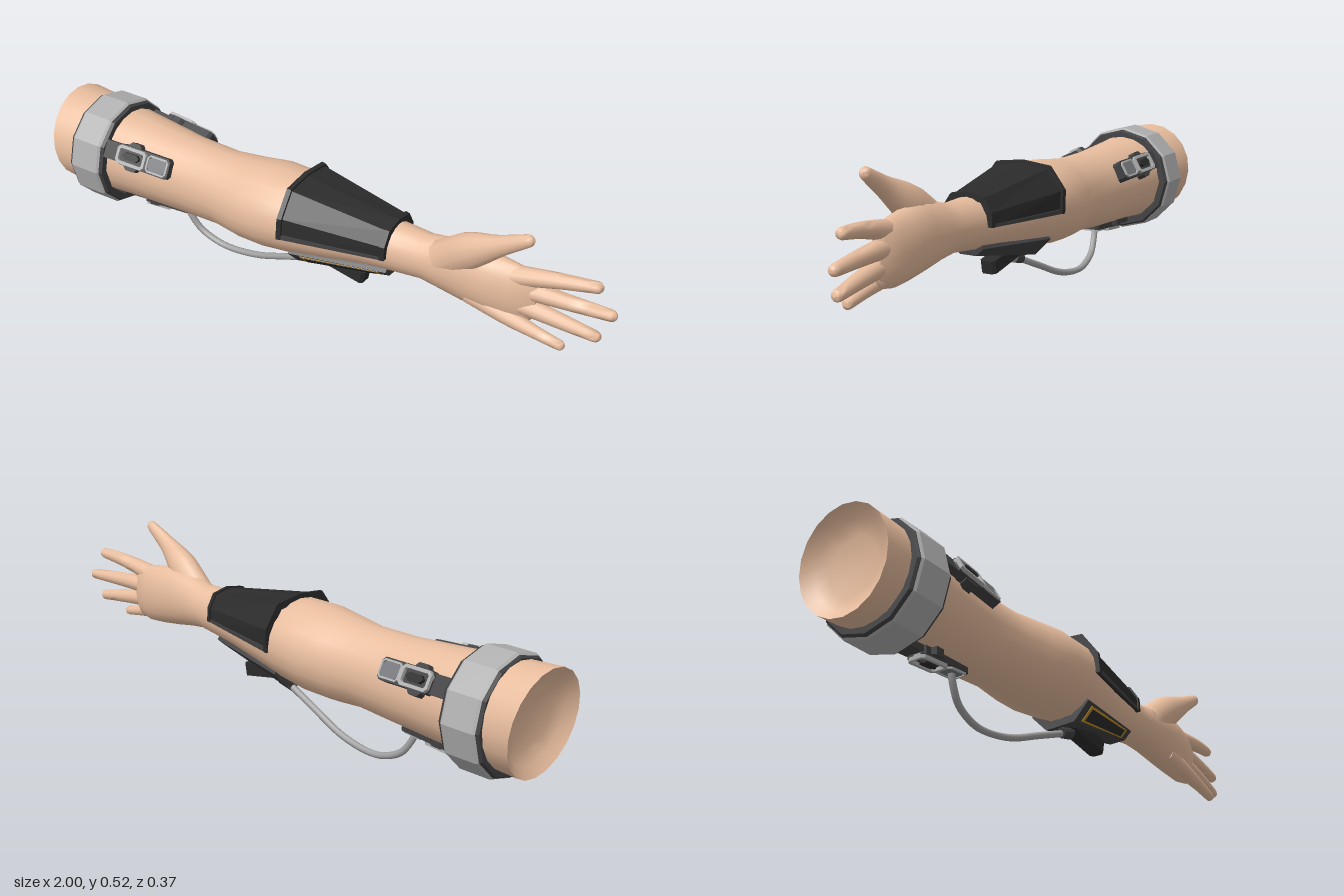
import * as THREE from 'three';
import { toCreasedNormals } from 'three/addons/utils/BufferGeometryUtils.js';

const V = (x, y, z) => new THREE.Vector3(x, y, z);
const paint = (color, flatShading = false) => new THREE.MeshStandardMaterial({ color, flatShading });

const skin = paint(0xe8bd9e);
const black = paint(0x2b2b2b, true);
const charcoal = paint(0x414143, true);
const grey = paint(0xb0b0b0, true);
const cableGrey = paint(0xa0a0a0);
const gold = paint(0xc8921e, true);

function add(parent, name, geometry, material) {
  const mesh = new THREE.Mesh(geometry, material);
  mesh.name = name;
  parent.add(mesh);
  return mesh;
}

// Skin a list of closed rings (same even point count), capped at both ends
function loft(rings, crease = 0.9) {
  const n = rings[0].length, index = [];
  const last = (rings.length - 1) * n;
  for (let i = 0; i < rings.length - 1; i++) {
    for (let j = 0; j < n; j++) {
      const k = (j + 1) % n, a = i * n + j, b = i * n + k;
      index.push(a, b, a + n, b, b + n, a + n);
    }
  }
  for (let j = 0; j < n / 2 - 1; j++) {
    const p = n - 2 - j, q = n - 1 - j;
    index.push(j, p, j + 1, j, q, p);
    index.push(last + j, last + j + 1, last + p, last + j, last + p, last + q);
  }
  const geo = new THREE.BufferGeometry().setFromPoints(rings.flat());
  geo.setIndex(index);
  return toCreasedNormals(geo, crease);
}

// Round tapering limb along a smooth path, with a rounded tip
function digit(points, radii, flatten = 1, sides = 12) {
  const curve = new THREE.CatmullRomCurve3(points);
  const rings = [], steps = 10;
  const ring = (c, t, r) => {
    const u = V(0, 0, 1).cross(t).normalize(), v = t.clone().cross(u);
    rings.push(Array.from({ length: sides }, (_, j) => {
      const a = j / sides * Math.PI * 2;
      return c.clone().addScaledVector(u, r * Math.cos(a)).addScaledVector(v, r * Math.sin(a) * flatten);
    }));
  };
  for (let i = 0; i <= steps; i++) {
    const f = i / steps * (radii.length - 1), k = Math.min(Math.floor(f), radii.length - 2);
    ring(curve.getPoint(i / steps), curve.getTangent(i / steps),
      THREE.MathUtils.lerp(radii[k], radii[k + 1], f - k));
  }
  const end = points.at(-1), t = curve.getTangent(1), r = radii.at(-1);
  for (const [d, s] of [[0.5, 0.87], [0.85, 0.53], [1, 0.15]]) ring(end.clone().addScaledVector(t, r * d), t, r * s);
  return loft(rings, 1.2);
}

// Arm and palm sections: x, top, bottom, back z, front z
const ARM = [
  [-1, .445, .12, -.17, .152], [-.88, .437, .122, -.16, .152], [-.7, .42, .134, -.14, .14],
  [-.5, .405, .138, -.112, .125], [-.35, .402, .147, -.106, .13], [-.25, .412, .14, -.12, .15],
  [-.15, .424, .145, -.135, .164], [-.04, .422, .16, -.128, .16], [.1, .4, .182, -.098, .13],
  [.2, .387, .198, -.076, .105], [.3, .373, .211, -.058, .09], [.4, .37, .221, -.046, .082],
  [.46, .385, .212, -.04, .084], [.54, .4, .197, -.038, .085], [.62, .392, .186, -.035, .08],
  [.69, .382, .181, -.028, .066], [.74, .37, .19, -.016, .048], [.765, .34, .22, 0, .032],
];
function armRing([x, top, bottom, back, front], slant = 0, scale = 1) {
  return Array.from({ length: 20 }, (_, j) => {
    const a = j / 20 * Math.PI * 2, c = Math.cos(a) * scale, s = Math.sin(a) * scale;
    return V(x + slant * (1 - c) / 2, (top + bottom) / 2 + c * (top - bottom) / 2,
      (back + front) / 2 + s * (front - back) / 2);
  });
}

// Tapering armour shell: [z, y] outline morphs from big to small along x,
// with thickness given as scales about the forearm axis
function shell(big, small, x0, x1, inner, outer) {
  const rings = [x0, x1].map((x) => {
    const t = (x + 0.04) / 0.34;
    const at = (s) => big.map(([z, y], i) => V(x,
      0.29 + (THREE.MathUtils.lerp(y, small[i][1], t) - 0.29) * s,
      0.015 + (THREE.MathUtils.lerp(z, small[i][0], t) - 0.015) * s));
    return [...at(outer), ...at(inner).reverse()];
  });
  return loft(rings, 0.1);
}
// Part of one outline segment, from fraction f to g
const piece = (o, i, f, g) => [f, g].map((t) => [0, 1].map((k) => THREE.MathUtils.lerp(o[i][k], o[i + 1][k], t)));

// Chamfered block lying in local xz, rising along y; optional slot through it
function plate(x0, x1, half, y0, y1, slot = 0) {
  const outline = (a, b, h, c) => [[a + c, -h], [b - c, -h], [b, c - h], [b, h - c], [b - c, h], [a + c, h], [a, h - c], [a, c - h]]
    .map((p) => new THREE.Vector2(...p));
  const shape = new THREE.Shape(outline(x0, x1, half, 0.01));
  if (slot) shape.holes.push(new THREE.Path(outline(x0 + slot, x1 - slot, half - slot, 0.005)));
  return new THREE.ExtrudeGeometry(shape, { depth: y1 - y0, bevelEnabled: false })
    .rotateX(-Math.PI / 2).translate(0, y0, 0);
}

// Ring swept around the arm axis from [radius, x] points
function band(profile) {
  const pts = [...profile, profile[0]].map(([r, x]) => new THREE.Vector2(r, x));
  return new THREE.LatheGeometry(pts, 12).rotateZ(-Math.PI / 2).translate(0, 0.272, 0);
}

export function createModel() {
  const model = new THREE.Group();
  model.name = 'armWithBracer';

  // Arm with a dished upper end
  const start = ARM[0];
  add(model, 'arm', loft([
    armRing([-.955, ...start.slice(1)], .03, .55), armRing([-.97, ...start.slice(1)], .03, .8),
    armRing(start, .035), ...ARM.slice(1).map((s) => armRing(s)),
  ]), skin);

  // Fingers and thumb
  const hand = new THREE.Group();
  hand.name = 'hand';
  model.add(hand);
  const fingers = {
    indexFinger: [V(.6, .325, .03), V(.73, .352, .02), V(.84, .372, .01), V(.932, .382, -.002)],
    middleFinger: [V(.6, .298, .025), V(.75, .302, .013), V(.88, .3, .0), V(.98, .297, -.012)],
    ringFinger: [V(.6, .265, .03), V(.74, .25, .022), V(.86, .234, .014), V(.947, .221, .006)],
    littleFinger: [V(.56, .24, .04), V(.69, .208, .045), V(.78, .189, .045), V(.858, .173, .042)],
  };
  for (const [name, path] of Object.entries(fingers)) {
    add(hand, name, digit(path, name === 'littleFinger' ? [.034, .027, .02, .016] : [.036, .029, .023, .018]), skin);
  }
  add(hand, 'thumb', digit([V(.46, .32, .035), V(.56, .395, .048), V(.65, .451, .06), V(.738, .503, .062)],
    [.06, .058, .033, .02], .8), skin);

  // Upper arm cuff
  const cuff = new THREE.Group();
  cuff.name = 'cuff';
  model.add(cuff);
  add(cuff, 'cuffLiner', band([[.15, -.892], [.172, -.892], [.178, -.885], [.178, -.765], [.172, -.755], [.15, -.755]]), charcoal);
  add(cuff, 'cuffBand', band([[.165, -.884], [.177, -.884], [.184, -.875], [.184, -.773], [.177, -.764], [.165, -.764]]), grey);

  // Three sensor pods spaced around the arm
  for (const [name, turn] of [['frontPod', 60], ['backPod', -60], ['lowerPod', 180]]) {
    const pivot = new THREE.Group();
    pivot.name = name;
    pivot.position.set(-.6, .275, .003);
    pivot.rotation.x = THREE.MathUtils.degToRad(turn);
    const pod = new THREE.Group();
    pod.position.y = .14;
    pod.rotation.z = -.08;
    pivot.add(pod);
    model.add(pivot);
    add(pod, 'podStrap', plate(-.17, -.08, .03, -.02, .008), charcoal);
    add(pod, 'podBase', plate(-.1, .1, .034, -.025, .014), charcoal);
    add(pod, 'podClamp', plate(-.07, -.02, .047, -.035, .01), charcoal);
    add(pod, 'podFrame', plate(-.1, .012, .031, .01, .025, .01), grey);
    add(pod, 'podSlot', plate(-.075, -.012, .012, .01, .026), black);
    add(pod, 'podRim', plate(.016, .096, .029, .01, .02, .006), grey);
    add(pod, 'podPanel', plate(.022, .09, .023, .01, .017), paint(0x77797c, true));
  }

  // Forearm guard over the top, with raised edging
  const guard = new THREE.Group();
  guard.name = 'forearmGuard';
  model.add(guard);
  const big = [[-.128, .278], [-.13, .35], [-.08, .418], [.015, .43], [.105, .42], [.16, .345], [.168, .278]];
  const small = [[-.068, .287], [-.066, .33], [-.042, .372], [.015, .383], [.07, .372], [.098, .33], [.1, .287]];
  add(guard, 'guardPanel', shell(big, small, -.035, .295, .9, 1), black);
  add(guard, 'guardRearRim', shell(big, small, -.045, -.03, .88, 1.05), black);
  add(guard, 'guardFrontRim', shell(big, small, .285, .3, .84, 1.06), black);
  for (const [i, f, g] of [[0, 0, .2], [5, .8, 1]]) {
    add(guard, 'guardLowerRim', shell(piece(big, i, f, g), piece(small, i, f, g), -.045, .3, .9, 1.04), charcoal);
  }

  // Faceted plate under the forearm, with gold outlined side panel
  const under = new THREE.Group();
  under.name = 'underPlate';
  model.add(under);
  const wide = [[.125, .2], [.07, .142], [-.035, .138], [-.09, .195]];
  const narrow = [[.07, .222], [.045, .198], [-.008, .197], [-.035, .22]];
  add(under, 'underPanel', shell(wide, narrow, -.035, .29, .85, 1.02), charcoal);
  add(under, 'goldOutline', shell(piece(wide, 0, .12, .88), piece(narrow, 0, .12, .88), 0, .262, .95, 1.035), gold);
  add(under, 'sidePanel', shell(piece(wide, 0, .22, .78), piece(narrow, 0, .22, .78), .012, .25, .95, 1.05), black);

  // Socket block and plug for the cable
  const socket = add(under, 'socket', plate(-.09, .09, .026, -.02, .022), black);
  socket.position.set(.1, .152, .012);
  socket.rotation.set(Math.PI, 0, .19);
  const plug = add(under, 'plug', new THREE.CylinderGeometry(.017, .02, .05, 10), charcoal);
  plug.position.set(.005, .13, .01);
  plug.rotation.z = Math.PI / 2 + .3;

  // Hanging cable from the lower pod to the socket
  const sag = new THREE.CatmullRomCurve3([V(-.54, .135, 0), V(-.528, .1, -.003), V(-.49, .047, -.01), V(-.42, .016, -.014),
    V(-.36, .0115, -.014), V(-.25, .03, -.01), V(-.12, .08, 0), V(.01, .131, .01)]);
  add(model, 'cable', new THREE.TubeGeometry(sag, 48, .011, 8), cableGrey);

  return model;
}
